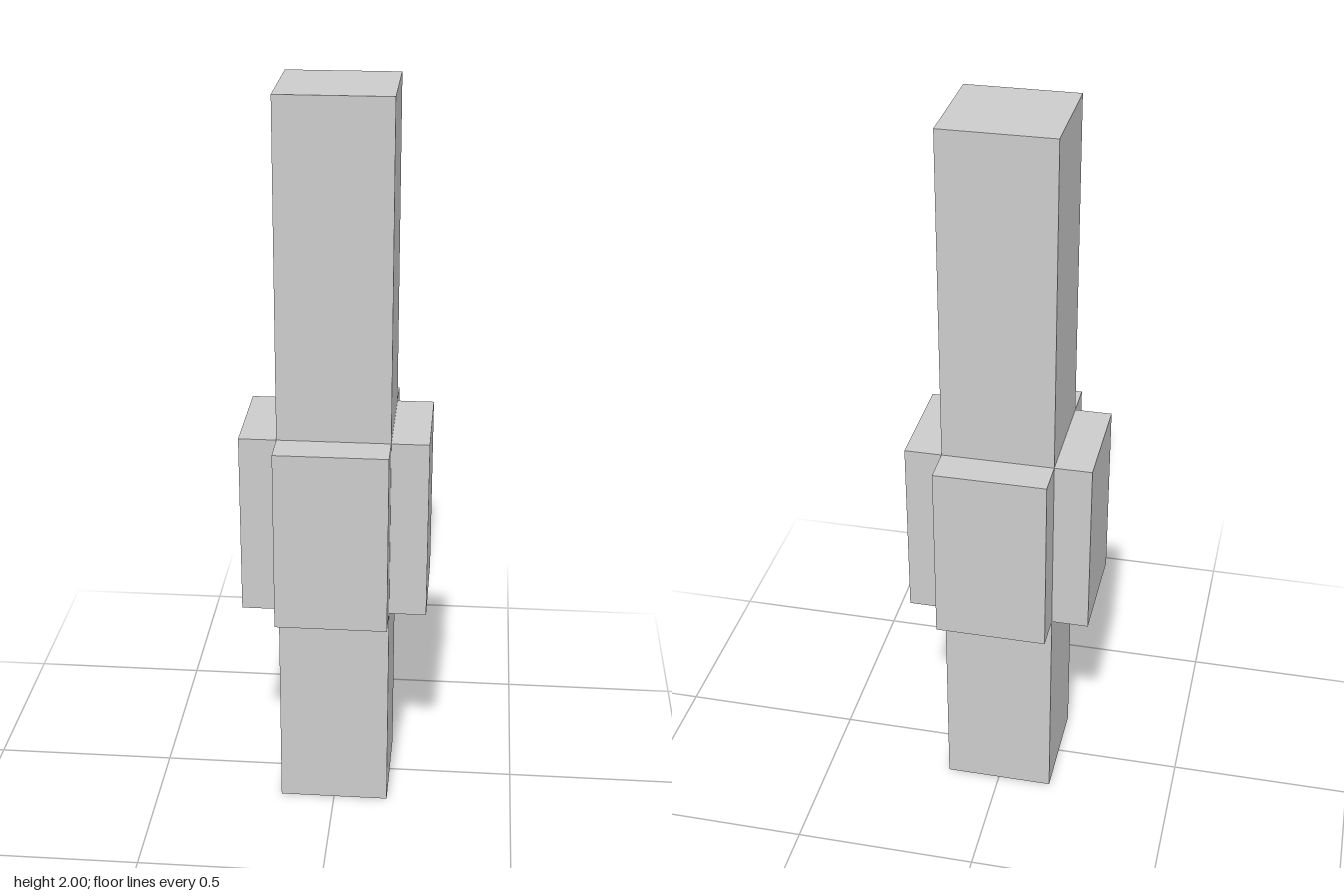
import * as THREE from 'three';

export function createModel() {
  const model = new THREE.Group();
  const material = new THREE.MeshStandardMaterial({ color: 0xcccccc, flatShading: true });

  const width = 0.3;
  const padDepth = 0.1;
  const padBottom = 0.6;
  const padHeight = 0.5;

  // Square column, full height
  const column = new THREE.Mesh(new THREE.BoxGeometry(width, 2, width), material);
  column.name = 'column';
  column.position.y = 1;
  model.add(column);

  // One raised pad on each side of the column
  const padGeometry = new THREE.BoxGeometry(width, padHeight, padDepth);
  ['frontPad', 'leftPad', 'backPad', 'rightPad'].forEach((name, i) => {
    const angle = (i * Math.PI) / 2;
    const reach = (width + padDepth) / 2;
    const pad = new THREE.Mesh(padGeometry, material);
    pad.name = name;
    pad.position.set(Math.sin(angle) * reach, padBottom + padHeight / 2, Math.cos(angle) * reach);
    pad.rotation.y = angle;
    model.add(pad);
  });

  return model;
}
